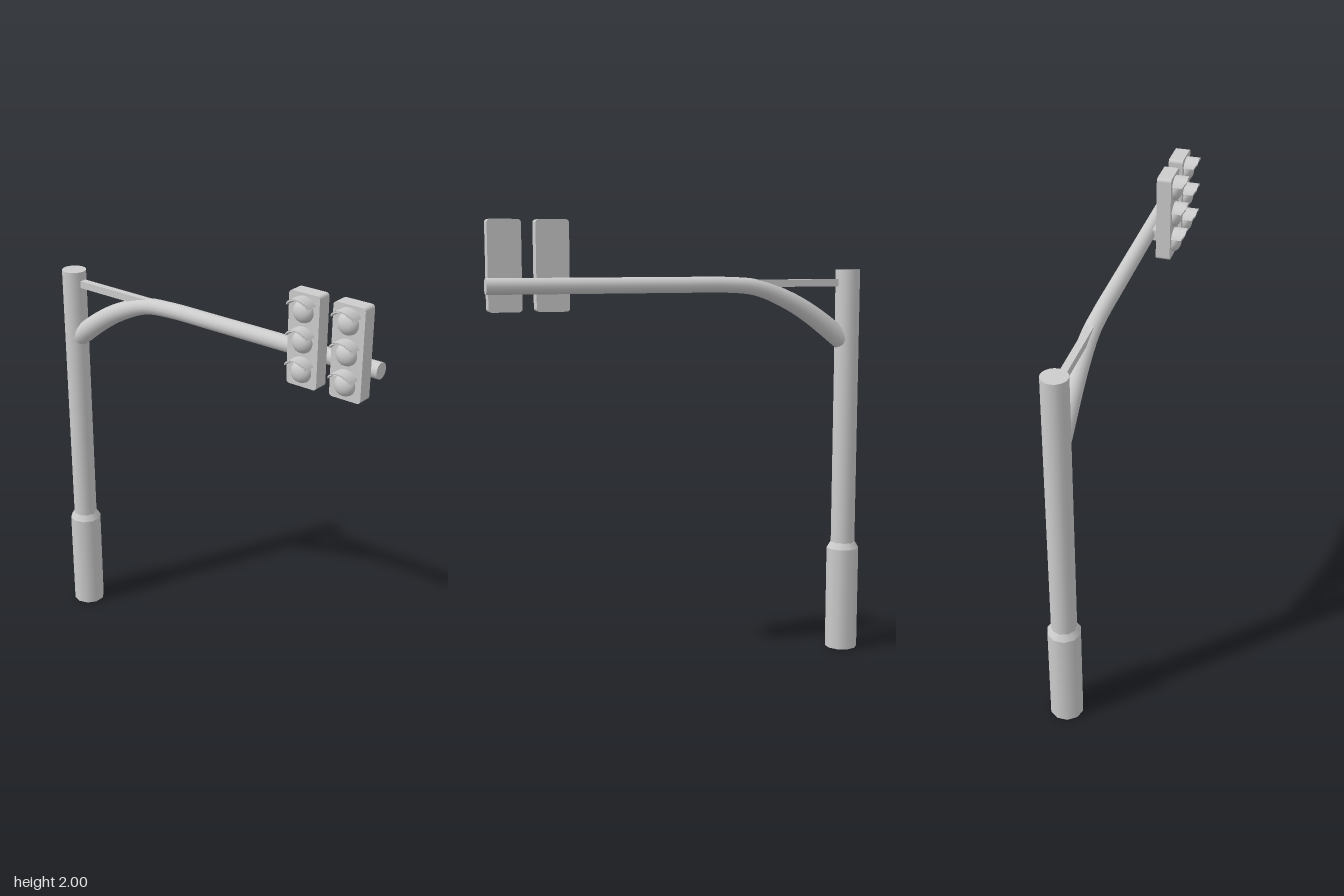
import * as THREE from 'three';

const material = new THREE.MeshStandardMaterial({ color: 0xcccccc });
const X = 0.045, POLE_Z = -0.795, ARM_Y = 1.718;

function add(parent, name, geometry, x = 0, y = 0, z = 0) {
  const mesh = new THREE.Mesh(geometry, material);
  mesh.name = name;
  mesh.position.set(x, y, z);
  parent.add(mesh);
  return mesh;
}

// Tube whose radius follows radiusAt(u) along the curve
function taperedTube(curve, segments, sides, radiusAt) {
  const geo = new THREE.TubeGeometry(curve, segments, 1, sides);
  const pos = geo.attributes.position, v = new THREE.Vector3();
  for (let i = 0; i < pos.count; i++) {
    const u = Math.floor(i / (sides + 1)) / segments;
    const c = curve.getPointAt(u);
    v.fromBufferAttribute(pos, i).sub(c).multiplyScalar(radiusAt(u)).add(c);
    pos.setXYZ(i, v.x, v.y, v.z);
  }
  return geo;
}

// Curved hood: a 120 degree arc, with its side corners cut back at the tip
function visorGeometry() {
  const outer = 0.064, inner = 0.058, a = Math.PI / 6, b = Math.PI - a;
  const shape = new THREE.Shape();
  shape.absarc(0, 0, outer, a, b, false);
  shape.absarc(0, 0, inner, b, a, true);
  const geo = new THREE.ExtrudeGeometry(shape, { depth: 0.06, bevelEnabled: false, curveSegments: 10 });
  const pos = geo.attributes.position;
  for (let i = 0; i < pos.count; i++) {
    if (pos.getZ(i) > 0.03) pos.setZ(i, 0.06 - Math.max(0, Math.abs(pos.getX(i)) - 0.035) * 0.75);
  }
  geo.computeVertexNormals();
  return geo;
}

// Housing outline with rounded corners
function housingGeometry(w, h, r, depth) {
  const s = new THREE.Shape(), x = w / 2 - r, y = h / 2 - r;
  s.absarc(x, y, r, 0, Math.PI / 2);
  s.absarc(-x, y, r, Math.PI / 2, Math.PI);
  s.absarc(-x, -y, r, Math.PI, Math.PI * 1.5);
  s.absarc(x, -y, r, Math.PI * 1.5, Math.PI * 2);
  return new THREE.ExtrudeGeometry(s, { depth, bevelEnabled: false, curveSegments: 4 });
}

// Signal head, built facing +z and turned to face -x
function signalHead(z) {
  const head = new THREE.Group();
  head.name = 'signalHead';
  head.position.set(0, 1.803, z);
  head.rotation.y = -Math.PI / 2;
  add(head, 'housing', housingGeometry(0.146, 0.394, 0.015, 0.065));
  const lens = new THREE.SphereGeometry(0.047, 20, 8, 0, Math.PI * 2, 0, Math.PI / 2);
  lens.rotateX(Math.PI / 2).scale(1, 1, 0.75);
  const visor = visorGeometry();
  for (const y of [0.122, -0.005, -0.132]) {
    add(head, 'lens', lens, 0, y, 0.065);
    add(head, 'visor', visor, 0, y, 0.065);
  }
  add(head, 'bracket', new THREE.BoxGeometry(0.12, 0.05, 0.035), 0, ARM_Y - 1.803, -0.0165);
  return head;
}

export function createModel() {
  const model = new THREE.Group();
  model.name = 'trafficLight';

  // Upright pole on a wider base
  const base = new THREE.CylinderGeometry(0.075, 0.075, 0.48, 10, 1, false, Math.PI / 2);
  add(model, 'base', base, X, 0.24, POLE_Z);
  const collar = new THREE.CylinderGeometry(0.057, 0.075, 0.03, 10, 1, false, Math.PI / 2);
  add(model, 'collar', collar, X, 0.495, POLE_Z);
  add(model, 'pole', new THREE.CylinderGeometry(0.056, 0.056, 1.29, 20), X, 1.135, POLE_Z);

  // Mast arm, straight and then bending down and thickening into the pole
  const path = [[0.87, ARM_Y], [0.4, ARM_Y], [0, ARM_Y], [-0.2, 1.717], [-0.35, 1.703],
    [-0.5, 1.645], [-0.62, 1.575], [-0.78, 1.455]];
  const curve = new THREE.CatmullRomCurve3(path.map(([z, y]) => new THREE.Vector3(X, y, z)));
  const radiusAt = u => 0.035 + 0.013 * THREE.MathUtils.smoothstep(u, 0.62, 1);
  add(model, 'arm', taperedTube(curve, 48, 16, radiusAt));
  add(model, 'armEndCap', new THREE.CircleGeometry(0.035, 16), X, ARM_Y, 0.87);

  // Horizontal strut between the pole and the bend
  add(model, 'strut', new THREE.BoxGeometry(0.032, 0.033, 0.46), X, 1.722, -0.53);

  for (const z of [0.778, 0.57]) model.add(signalHead(z));
  return model;
}
